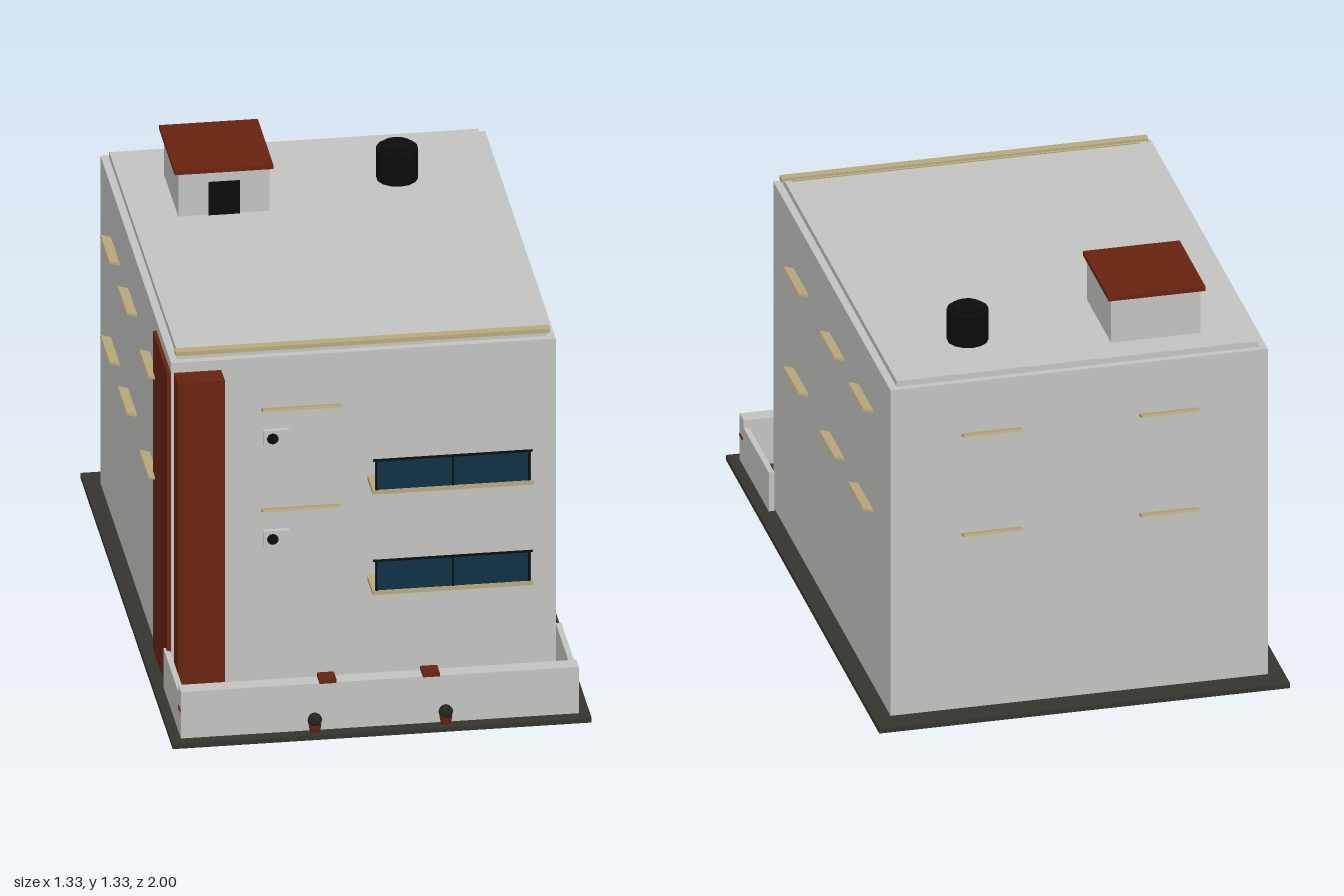
import * as THREE from 'three';

const mat = (name, color) => {
  const m = new THREE.MeshStandardMaterial({ color });
  m.name = name;
  return m;
};

export function createModel() {
  const root = new THREE.Group();
  root.name = 'building';
  const wall = mat('pale grey wall', 0xc2c2c1);
  const red = mat('brick red', 0x682310);
  const beige = mat('beige trim', 0xb8a87b);
  const ground = mat('dark paving', 0x35352e);
  const glass = mat('blue glass', 0x0e3146);
  const black = mat('black', 0x0c0c0c);
  const leaf = mat('dark foliage', 0x20251f);

  const add = (geo, name, m, parent = root) => {
    const mesh = new THREE.Mesh(geo, m);
    mesh.name = name;
    parent.add(mesh);
    return mesh;
  };
  // Box given by its extents along each axis
  const box = (name, m, x0, x1, y0, y1, z0, z1, parent = root) => {
    const mesh = add(new THREE.BoxGeometry(x1 - x0, y1 - y0, z1 - z0), name, m, parent);
    mesh.position.set((x0 + x1) / 2, (y0 + y1) / 2, (z0 + z1) / 2);
    return mesh;
  };

  // Plot and main block
  box('groundSlab', ground, -0.667, 0.667, 0, 0.016, -1, 1);
  box('mainBlock', wall, -0.615, 0.61, 0.01, 1.16, -0.918, 0.61);

  // Low parapet ring set back from the roof edge
  const rect = (P, x0, x1, z0, z1) => new P([[x0, -z0], [x1, -z0], [x1, -z1], [x0, -z1]]
    .map(([x, y]) => new THREE.Vector2(x, y)));
  class RectPath extends THREE.Path { constructor(p) { super(); this.setFromPoints(p); this.closePath(); } }
  const ring = rect(THREE.Shape, -0.59, 0.585, -0.897, 0.585);
  ring.holes.push(rect(RectPath, -0.567, 0.562, -0.876, 0.56));
  const parapet = add(new THREE.ExtrudeGeometry(ring, { depth: 0.022, bevelEnabled: false }), 'parapet', wall);
  parapet.rotation.x = -Math.PI / 2;
  parapet.position.y = 1.158;
  box('parapetTrim', beige, -0.597, 0.594, 1.174, 1.188, 0.563, 0.593);

  // Red tower at the front corner and its side panel
  box('redTower', red, -0.605, -0.455, 0.01, 1.125, 0.6, 0.69);
  box('redSidePanel', red, -0.627, -0.61, 0.01, 1.125, 0.297, 0.605);

  // Stair house on the roof
  box('stairHouse', wall, -0.437, -0.146, 1.155, 1.312, -0.757, -0.443);
  box('stairHouseDoor', black, -0.341, -0.241, 1.16, 1.274, -0.445, -0.437);
  box('stairHouseRoof', red, -0.45, -0.136, 1.311, 1.326, -0.768, -0.43);

  // Water tank: ribbed body with a smaller lid
  const tank = new THREE.Group();
  tank.name = 'waterTank';
  tank.position.set(0.286, 1.158, -0.622);
  root.add(tank);
  const tankBody = new THREE.CylinderGeometry(0.066, 0.066, 0.11, 14);
  add(tankBody, 'tankBody', black, tank).position.y = 0.055;
  add(new THREE.CylinderGeometry(0.05, 0.05, 0.02, 14), 'tankLid', black, tank).position.y = 0.111;

  // Sun shades that rise outward; local +z points away from the wall
  const shade = (x, y, z, turn, width) => {
    const g = new THREE.Group();
    g.name = 'sunShade';
    g.position.set(x, y, z);
    g.rotation.y = turn;
    const slab = add(new THREE.BoxGeometry(width, 0.008, 0.05), 'shadeSlab', beige, g);
    slab.position.set(0, 0.001, 0.01);
    slab.rotation.x = -0.3;
    root.add(g);
  };
  for (const y of [0.98, 0.63]) {
    shade(-0.2025, y, 0.61, 0, 0.25);
    for (const x of [-0.292, 0.285]) shade(x, y, -0.92, Math.PI, 0.19);
    for (const z of [0.247, -0.22, -0.596]) {
      shade(0.61, y, z, Math.PI / 2, 0.196);
      shade(-0.615, y, z, -Math.PI / 2, 0.196);
    }
  }

  // Balconies and air conditioners, one set on each upper floor
  for (const y of [0.36, 0.711]) {
    const b = new THREE.Group();
    b.name = 'balcony';
    b.position.y = y;
    root.add(b);
    box('balconySlab', beige, 0.01, 0.522, 0, 0.015, 0.605, 0.725, b);
    box('balconyGlass', glass, 0.018, 0.515, 0.015, 0.115, 0.717, 0.723, b);
    box('balconyRail', black, 0.012, 0.52, 0.115, 0.119, 0.715, 0.725, b);
    for (const x of [0.022, 0.266, 0.508]) {
      box('balconyPost', black, x - 0.003, x + 0.003, 0.015, 0.116, 0.716, 0.726, b);
    }

    const ac = new THREE.Group();
    ac.name = 'airConditioner';
    ac.position.set(-0.2815, y + 0.17, 0.61);
    root.add(ac);
    box('acCase', wall, -0.041, 0.041, -0.028, 0.028, -0.005, 0.016, ac);
    const fan = add(new THREE.CylinderGeometry(0.018, 0.018, 0.005, 14), 'acFan', black, ac);
    fan.rotation.x = Math.PI / 2;
    fan.position.set(-0.012, 0, 0.017);
  }

  // Yard walls
  box('frontYardWall', wall, -0.635, 0.632, 0.01, 0.178, 0.907, 0.96);
  for (const [x0, x1] of [[-0.635, -0.617], [0.614, 0.632]]) {
    box('sideYardWall', wall, x0, x1, 0.01, 0.152, 0.58, 0.91);
  }
  for (const x of [-0.167, 0.162]) {
    box('wallCap', red, x - 0.027, x + 0.027, 0.176, 0.19, 0.905, 0.961);
  }
  for (const x of [-0.635, 0.632]) {
    box('wallEndStrip', red, x - 0.003, x + 0.003, 0.104, 0.112, 0.917, 0.953);
  }

  // Potted shrubs against the front wall
  for (const x of [-0.21, 0.207]) {
    const plant = new THREE.Group();
    plant.name = 'pottedShrub';
    plant.position.set(x, 0.016, 0.969);
    root.add(plant);
    add(new THREE.CylinderGeometry(0.021, 0.016, 0.026, 10), 'pot', red, plant).position.y = 0.013;
    add(new THREE.SphereGeometry(0.023, 10, 8), 'shrub', leaf, plant).position.y = 0.04;
  }
  return root;
}
